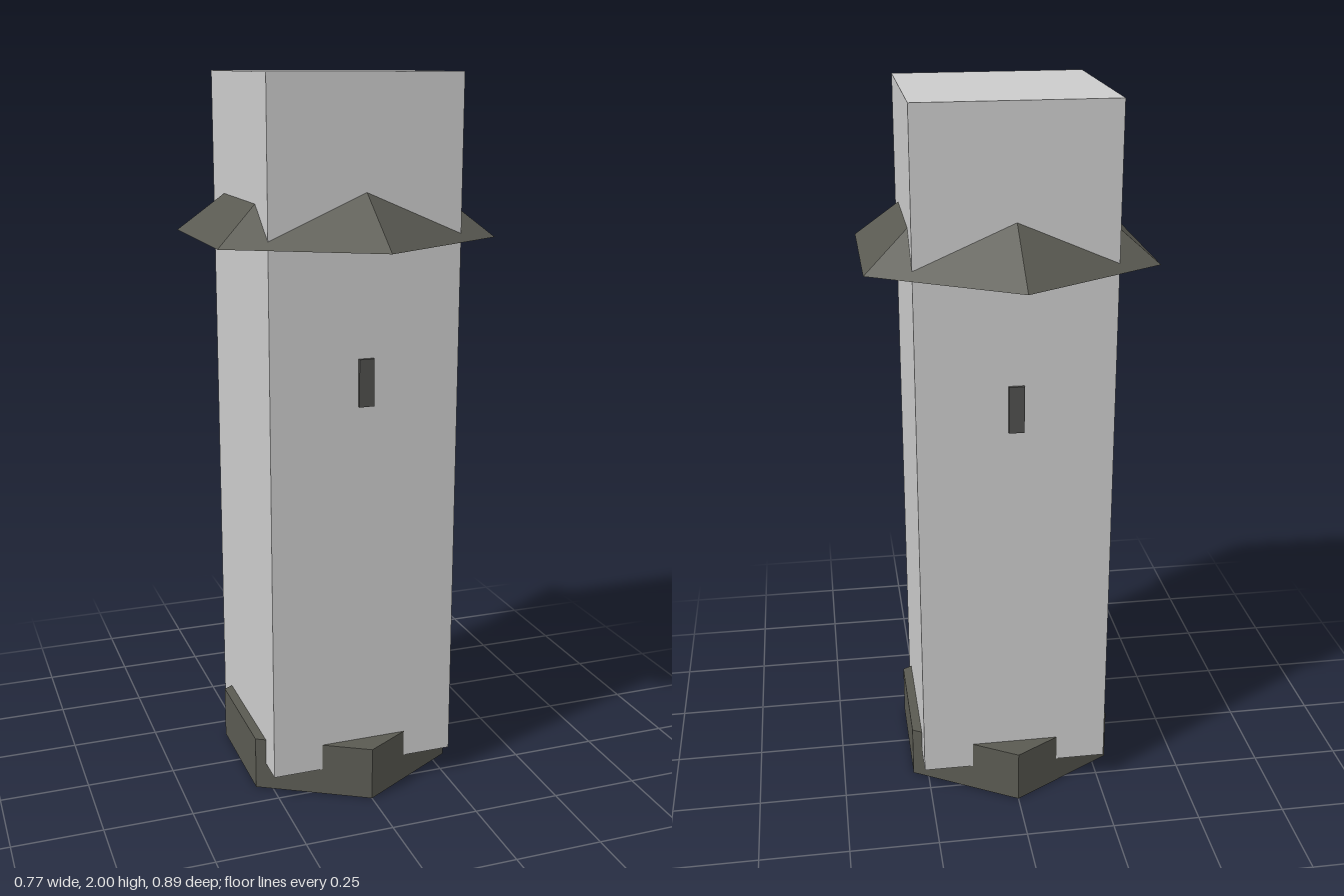
import * as THREE from 'three';

export function createModel() {
  const group = new THREE.Group();
  const mat = (name, color) => {
    const m = new THREE.MeshStandardMaterial({ color, flatShading: true });
    m.name = name;
    return m;
  };
  const paleStone = mat('pale stone', 0xcccccc);
  const darkSlate = mat('dark slate', 0x5a5a52);
  const windowGrey = mat('window grey', 0x50504e);

  const add = (name, geometry, material, x, y, z) => {
    const mesh = new THREE.Mesh(geometry, material);
    mesh.name = name;
    mesh.position.set(x, y, z);
    group.add(mesh);
  };

  // Square shaft, floating slightly above the ground on the plinth
  const half = 0.267, bottom = 0.077, top = 2;
  add('shaft', new THREE.BoxGeometry(2 * half, top - bottom, 2 * half), paleStone, 0, (top + bottom) / 2, 0);

  // Six-sided plinth with corners toward front and back
  add('plinth', new THREE.CylinderGeometry(0.339, 0.339, 0.153, 6), darkSlate, 0, 0.0765, 0);

  // Six-sided skirt roof; its peak stays inside the shaft
  add('skirtRoof', new THREE.ConeGeometry(0.447, 0.335, 6), darkSlate, 0, 1.565 + 0.335 / 2, 0);

  // Slit windows on front and back
  for (const side of [1, -1]) {
    add(side > 0 ? 'frontWindow' : 'backWindow',
      new THREE.BoxGeometry(0.042, 0.13, 0.0095), windowGrey, 0, 1.2, side * (half + 0.00475));
  }
  return group;
}
